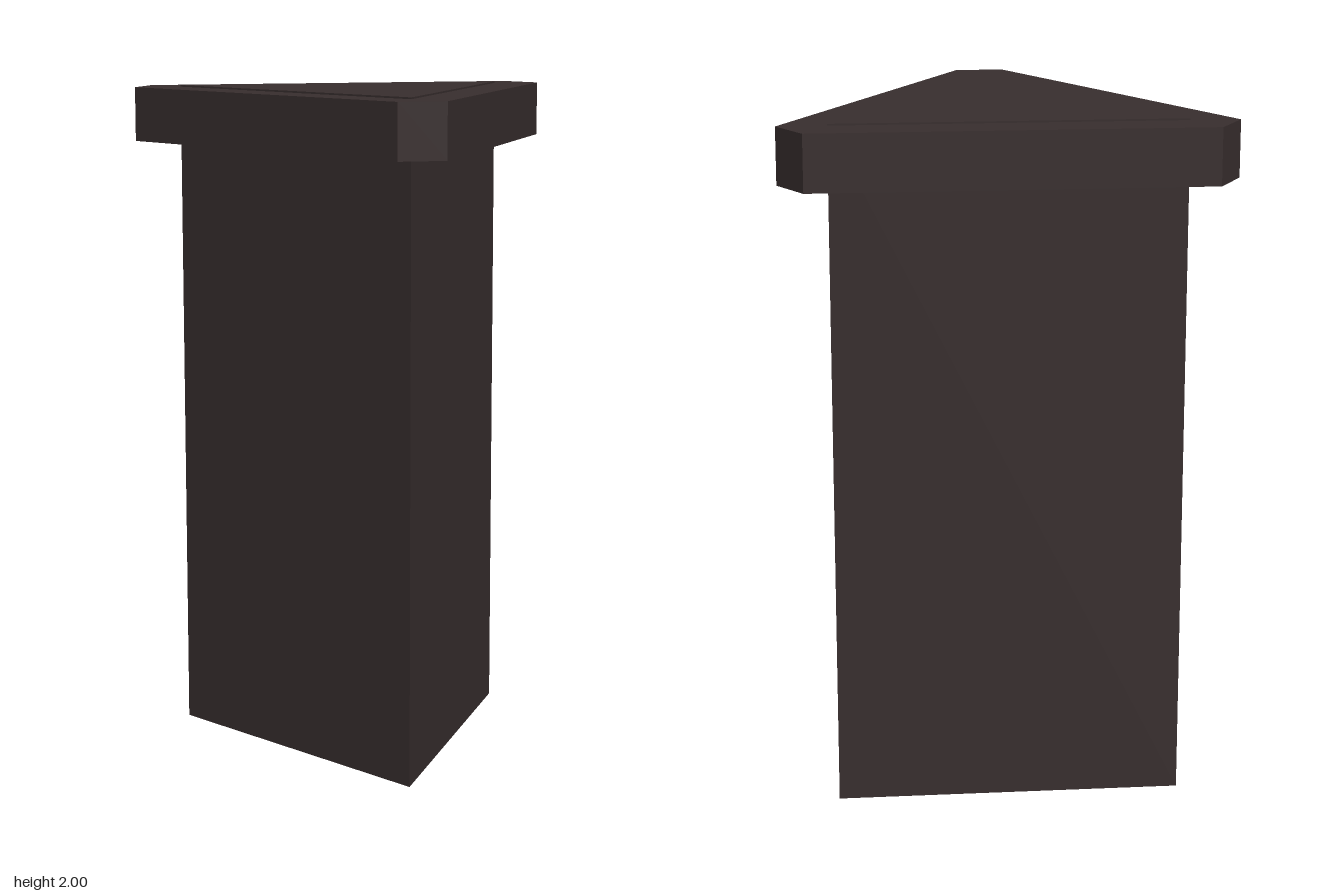
import * as THREE from 'three';

const darkBrown = new THREE.MeshStandardMaterial({ color: 0x382e2e });
darkBrown.name = 'darkBrown';

// Upright prism from an outline of [x, z] points
function prism(name, outline, bottom, top) {
  const shape = new THREE.Shape(outline.map(([x, z]) => new THREE.Vector2(x, -z)));
  const geometry = new THREE.ExtrudeGeometry(shape, { depth: top - bottom, bevelEnabled: false });
  geometry.rotateX(-Math.PI / 2);
  geometry.translate(0, bottom, 0);
  const mesh = new THREE.Mesh(geometry, darkBrown);
  mesh.name = name;
  return mesh;
}

export function createModel() {
  const group = new THREE.Group();
  group.name = 'triangularPillar';

  // Three-sided shaft, rising just through the cap
  group.add(prism('shaft', [[0, 0.433], [0.5, -0.433], [-0.5, -0.433]], 0, 2));

  // Overhanging cap: the same triangle offset outwards, with clipped corners
  group.add(prism('cap', [
    [-0.071, 0.555], [0.071, 0.555], [0.641, -0.433],
    [0.57, -0.555], [-0.57, -0.555], [-0.641, -0.433],
  ], 1.832, 1.995));

  return group;
}
